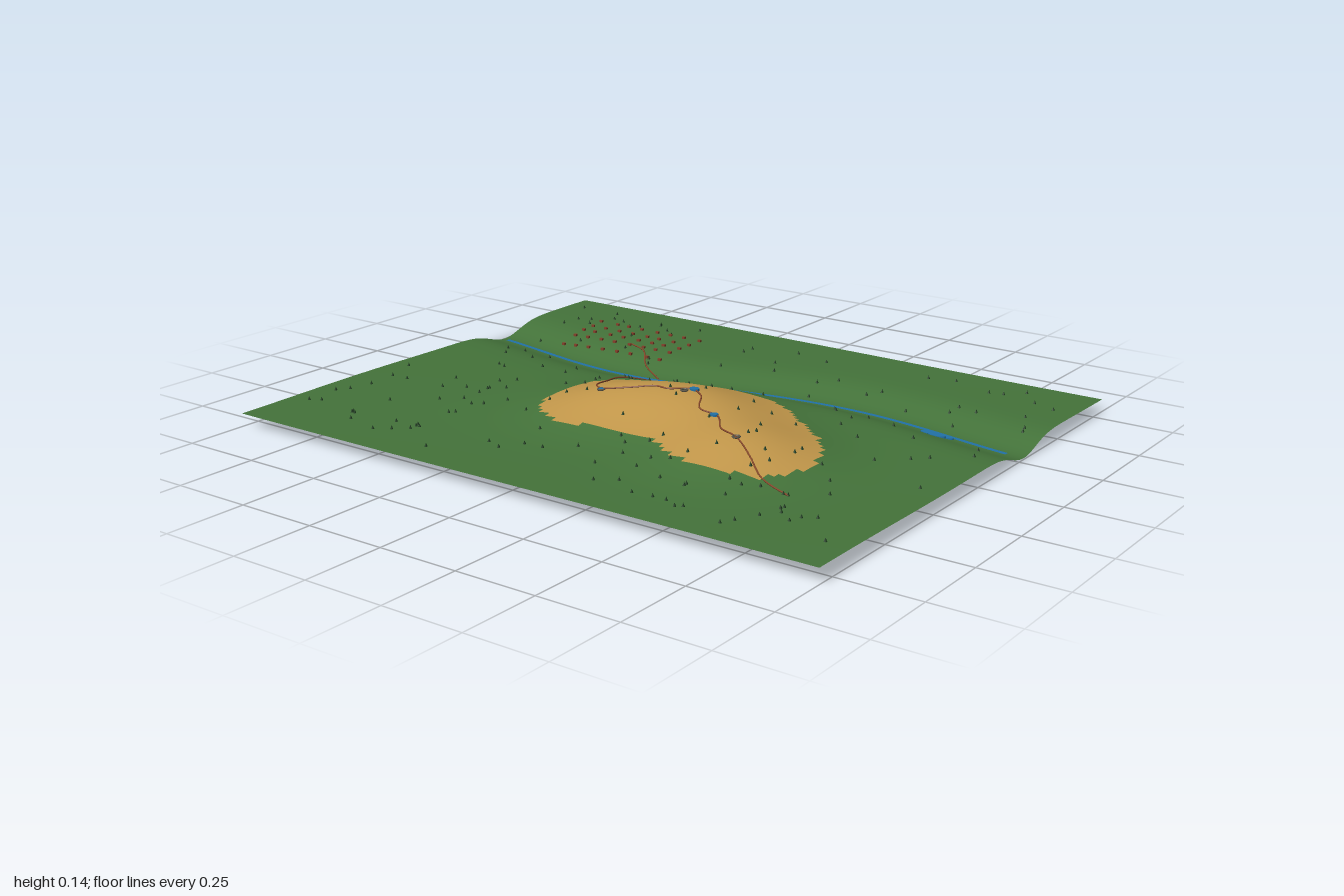
import * as THREE from 'three';
import { mergeGeometries } from 'three/addons/utils/BufferGeometryUtils.js';

const mat = (name, color, side = THREE.FrontSide) => {
  const m = new THREE.MeshStandardMaterial({ color, side });
  m.name = name;
  return m;
};

const gauss = (d2, s) => Math.exp(-d2 / (2 * s * s));
const riverZ = (x) => -0.31 - 0.053 * Math.sin(4.1 * x + 0.05);

// Hill summits: x, z, height, spread
const hills = [[-0.12, 0.14, 0.056, 0.155], [0.12, 0.06, 0.064, 0.155], [0.41, 0.26, 0.061, 0.155]];

function heightAt(x, z) {
  let y = 0.046 + 0.002 * Math.cos(6 * z + 2 * x);
  for (const [hx, hz, h, s] of hills) y += h * gauss((x - hx) ** 2 + (z - hz) ** 2, s);
  return y - 0.04 * gauss((z - riverZ(x) + 0.015) ** 2, 0.075);
}

// Outline of the dry hilltop
const dryOutline = [
  [-0.33, 0.12], [-0.31, 0], [-0.27, -0.07], [-0.19, -0.1], [-0.06, -0.1], [0, -0.13], [0.1, -0.16], [0.2, -0.16],
  [0.27, -0.14], [0.36, -0.08], [0.42, -0.03], [0.5, 0.03], [0.57, 0.1], [0.62, 0.18], [0.64, 0.27], [0.62, 0.36],
  [0.57, 0.42], [0.47, 0.45], [0.37, 0.45], [0.29, 0.43], [0.22, 0.38], [0.16, 0.35], [0, 0.34], [-0.08, 0.36],
  [-0.17, 0.36], [-0.24, 0.33], [-0.3, 0.28], [-0.32, 0.21]
];
function isDry(x, z) {
  let inside = false;
  dryOutline.forEach(([ax, az], i) => {
    const [bx, bz] = dryOutline[(i + 1) % dryOutline.length];
    if ((az > z) !== (bz > z) && x < ax + ((z - az) * (bx - ax)) / (bz - az)) inside = !inside;
  });
  return inside;
}

// Gridded sheet of land, each cell either grass or dry earth
function terrainGeometry() {
  const geo = new THREE.PlaneGeometry(2, 1.62, 100, 81).rotateX(-Math.PI / 2);
  const p = geo.attributes.position;
  for (let i = 0; i < p.count; i++) p.setY(i, heightAt(p.getX(i), p.getZ(i)));
  const cells = [[], []];
  const idx = geo.index.array;
  for (let i = 0; i < idx.length; i += 6) {
    const x = p.getX(idx[i]) + 0.01, z = p.getZ(idx[i]) + 0.01;
    cells[isDry(x, z) ? 1 : 0].push(...idx.slice(i, i + 6));
  }
  geo.setIndex([...cells[0], ...cells[1]]);
  geo.clearGroups();
  geo.addGroup(0, cells[0].length, 0);
  geo.addGroup(cells[0].length, cells[1].length, 1);
  geo.computeVertexNormals();
  return geo;
}

// Ribbon of water along the valley floor
function riverGeometry() {
  const geo = new THREE.PlaneGeometry(1.92, 0.016, 120, 1).rotateX(-Math.PI / 2);
  const p = geo.attributes.position;
  for (let i = 0; i < p.count; i++) {
    const x = p.getX(i) - 0.01, zc = riverZ(x);
    p.setXYZ(i, x, heightAt(x, zc) + 0.004, zc + p.getZ(i));
  }
  geo.computeVertexNormals();
  return geo;
}

export function createModel() {
  const group = new THREE.Group();
  const grass = mat('grass green', 0x44733a, THREE.DoubleSide);
  const earth = mat('dry earth', 0xc2974a, THREE.DoubleSide);
  const water = mat('water blue', 0x2272a8, THREE.DoubleSide);
  const trail = mat('trail brown', 0x8a4a2c);
  const brick = mat('brick red', 0x84402a);
  const leaf = mat('dark leaf', 0x1f3f20);
  const stone = mat('stone grey', 0x5f5a4c);

  const add = (name, geo, material) => {
    const mesh = new THREE.Mesh(geo, material);
    mesh.name = name;
    group.add(mesh);
  };
  const onGround = (geo, x, z, lift = 0) => geo.translate(x, heightAt(x, z) + lift, z);

  add('terrain', terrainGeometry(), [grass, earth]);
  add('river', riverGeometry(), water);

  // Hill ponds and the wider pool downstream: x, z, radius x, radius z
  const pools = [
    [0.11, 0.065, 0.016, 0.013], [0.26, 0.18, 0.013, 0.011], [-0.15, 0.175, 0.008, 0.008],
    [0.7, -0.3, 0.04, 0.013], [0.72, -0.288, 0.03, 0.013], [0.75, -0.297, 0.02, 0.01]
  ];
  add('pools', mergeGeometries(pools.map(([x, z, rx, rz]) =>
    onGround(new THREE.CylinderGeometry(1, 1, 0.009, 12).scale(rx, 1, rz), x, z, 0.001))), water);

  // Footpath from the village over the ridge
  const route = new THREE.CatmullRomCurve3([
    [-0.52, -0.46], [-0.45, -0.43], [-0.38, -0.35], [-0.27, -0.27], [-0.27, -0.19], [-0.3, -0.1], [-0.26, 0.01],
    [-0.21, 0.12], [-0.15, 0.165], [-0.06, 0.145], [0, 0.11], [0.05, 0.11], [0.1, 0.07], [0.15, 0.09], [0.2, 0.165],
    [0.27, 0.18], [0.34, 0.26], [0.41, 0.29], [0.5, 0.355], [0.58, 0.42], [0.69, 0.46]
  ].map(([x, z]) => new THREE.Vector3(x, 0, z)));
  const draped = new THREE.CatmullRomCurve3(route.getPoints(120).map((v) => v.setY(heightAt(v.x, v.z) + 0.002)));
  add('footpath', new THREE.TubeGeometry(draped, 240, 0.0025, 5), trail);

  let seed = 7;
  const rand = () => (seed = (seed * 16807) % 2147483647) / 2147483647;

  // Village houses in loose rows
  const houses = [];
  for (const z of [-0.61, -0.55, -0.5, -0.45, -0.39]) {
    for (let i = 0; i < 8; i++) {
      const x = -0.76 + i * 0.058 + (rand() - 0.5) * 0.015;
      houses.push(onGround(new THREE.BoxGeometry(0.011, 0.008, 0.008), x, z, 0.003));
    }
  }
  add('villageHouses', mergeGeometries(houses), brick);

  // Scattered trees, kept clear of the stream
  const trees = [];
  while (trees.length < 190) {
    const x = (rand() - 0.5) * 1.88, z = (rand() - 0.5) * 1.46;
    if (Math.abs(z - riverZ(x)) < 0.04) continue;
    if (isDry(x, z) && rand() < 0.3) continue;
    trees.push(onGround(new THREE.ConeGeometry(0.005, 0.012, 6), x, z, 0.005));
  }
  add('trees', mergeGeometries(trees), leaf);

  // Small stone rings beside the path
  const rings = [[-0.15, 0.175], [0.095, 0.095], [0.41, 0.29]].map(([x, z]) =>
    onGround(new THREE.TorusGeometry(0.01, 0.003, 5, 10).rotateX(Math.PI / 2), x, z, 0.003));
  add('stoneRings', mergeGeometries(rings), stone);

  return group;
}
